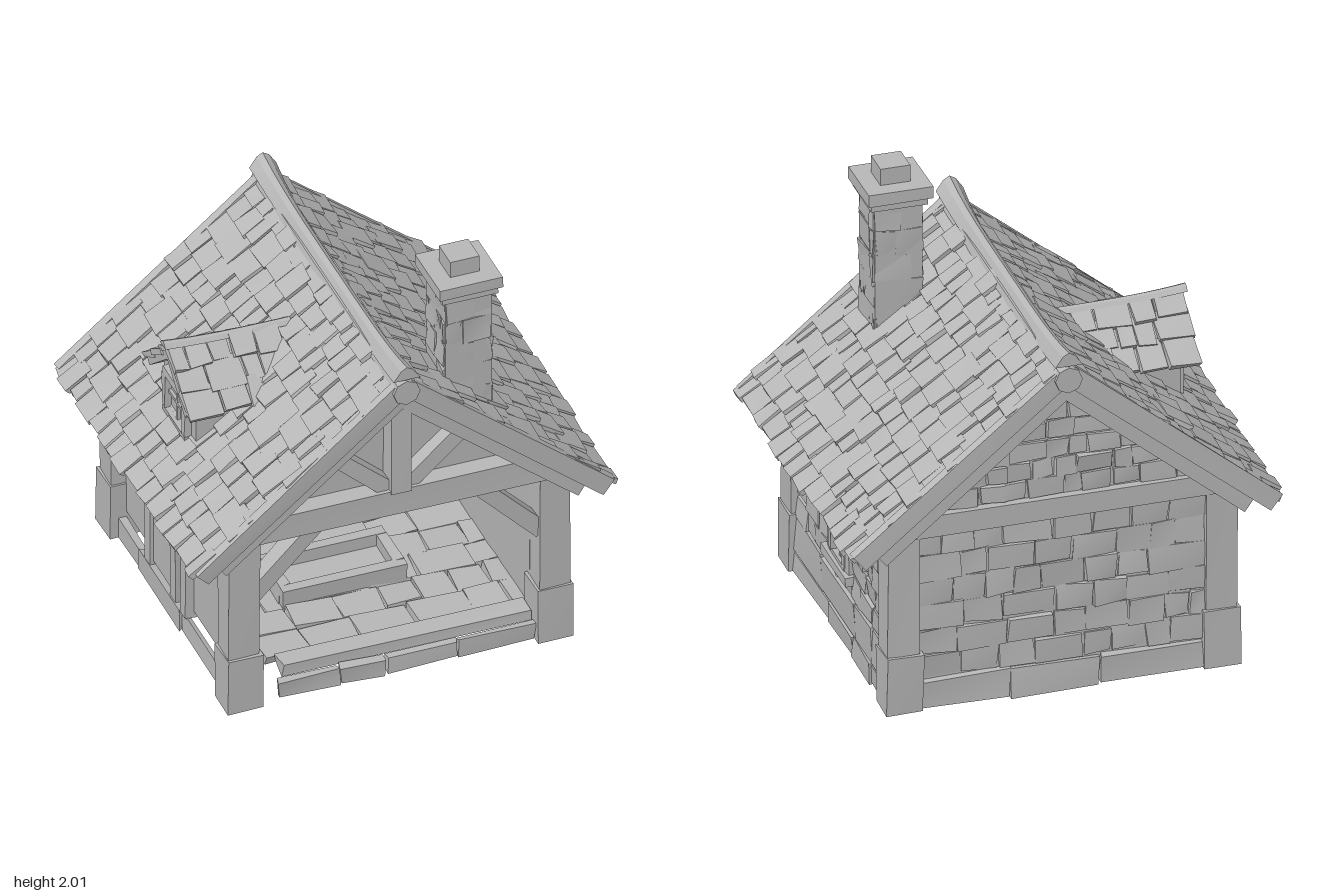
import * as THREE from 'three';
import { mergeGeometries } from 'three/addons/utils/BufferGeometryUtils.js';

export function createModel() {
  const model = new THREE.Group();
  model.name = 'cottage';
  const stone = new THREE.MeshStandardMaterial({ color: 0xb8b8b8, side: THREE.DoubleSide });
  stone.name = 'plain grey';

  let seed = 7;
  const rnd = () => (seed = (seed * 16807) % 2147483647) / 2147483647;
  const vary = (a) => (rnd() - 0.5) * 2 * a;

  const add = (parent, name, geo) => {
    const m = new THREE.Mesh(geo, stone);
    m.name = name;
    parent.add(m);
    return m;
  };
  const group = (parent, name) => {
    const g = new THREE.Group();
    g.name = name;
    parent.add(g);
    return g;
  };
  // Rough-hewn block: a box whose eight corners are nudged
  const block = (x0, x1, y0, y1, z0, z1, j = 0.004, tilt = 0) => {
    const g = new THREE.BoxGeometry(x1 - x0, y1 - y0, z1 - z0);
    const nudge = Array.from({ length: 8 }, () => [vary(j), vary(j), vary(j)]);
    const p = g.attributes.position;
    for (let i = 0; i < p.count; i++) {
      const [x, y, z] = [p.getX(i), p.getY(i), p.getZ(i)];
      const n = nudge[(x > 0) + 2 * (y > 0) + 4 * (z > 0)];
      p.setXYZ(i, x + n[0], y + n[1], z + n[2]);
    }
    g.computeVertexNormals();
    return g.rotateZ(tilt).translate((x0 + x1) / 2, (y0 + y1) / 2, (z0 + z1) / 2);
  };
  const box = (parent, name, ...args) => add(parent, name, block(...args));
  // Timber between two points of the xy plane
  const beam = (parent, name, ax, ay, bx, by, w, z0, z1) => {
    const len = Math.hypot(bx - ax, by - ay);
    const g = block(-len / 2, len / 2, -w / 2, w / 2, z0, z1);
    g.rotateZ(Math.atan2(by - ay, bx - ax)).translate((ax + bx) / 2, (ay + by) / 2, 0);
    return add(parent, name, g);
  };
  const prism = (parent, name, pts, z0, z1, steps = 1) => {
    const s = new THREE.Shape(pts.map(([x, y]) => new THREE.Vector2(x, y)));
    const g = new THREE.ExtrudeGeometry(s, { depth: z1 - z0, steps, bevelEnabled: false });
    return add(parent, name, g.translate(0, 0, z0));
  };
  // Courses of uneven stones on a plane facing +z
  const masonry = (parent, name, x0, x1, y0, y1, rowH, stoneW, keep = () => true) => {
    const geos = [];
    const rows = Math.round((y1 - y0) / rowH), h = (y1 - y0) / rows;
    for (let r = 0; r < rows; r++) {
      for (let x = x0; x < x1 - 0.02;) {
        let e = x + stoneW * (0.6 + 0.8 * rnd());
        if (x1 - e < stoneW * 0.4) e = x1;
        const y = y0 + r * h;
        if (keep(x, e, y, y + h)) {
          geos.push(block(x + 0.003, e - 0.003, y + 0.003, y + h - 0.003, -0.02, 0.008 + rnd() * 0.01, 0.009));
        }
        x = e;
      }
    }
    return add(parent, name, mergeGeometries(geos));
  };
  // Framed window facing +z
  const windowUnit = (parent, w, y0, y1, cols, rows) => {
    const g = group(parent, 'window');
    const f = 0.035, a = w / 2;
    for (const s of [-1, 1]) box(g, 'windowJamb', s * (a + f / 2) - f / 2, s * (a + f / 2) + f / 2, y0, y1, -0.03, 0.035);
    box(g, 'windowHead', -a - f, a + f, y1, y1 + f, -0.03, 0.035);
    box(g, 'windowSillRail', -a - f, a + f, y0 - f, y0, -0.03, 0.035);
    box(g, 'windowPane', -a, a, y0, y1, -0.02, 0.004, 0);
    for (let i = 1; i < cols; i++) { const x = -a + (w * i) / cols; box(g, 'windowBar', x - 0.008, x + 0.008, y0, y1, 0, 0.02, 0.001); }
    for (let i = 1; i < rows; i++) { const y = y0 + ((y1 - y0) * i) / rows; box(g, 'windowBar', -a, a, y - 0.008, y + 0.008, 0, 0.02, 0.001); }
    return g;
  };
  // Tiled pitch: local x runs down the slope, y is its normal, z follows the ridge
  const pitch = (parent, side, theta, len, z0, z1, rows, tileW) => {
    const turn = group(parent, 'roofPitch');
    const g = group(turn, 'roofSlope');
    g.rotation.z = -theta;
    box(g, 'roofDeck', 0, len - 0.03, -0.04, 0, z0 + 0.01, z1 - 0.01, 0);
    const geos = [], step = len / rows;
    for (let r = 0; r < rows; r++) {
      for (let z = z0; z < z1 - 0.01;) {
        let e = z + tileW * (0.6 + 0.8 * rnd());
        if (z1 - e < tileW * 0.4) e = z1;
        const low = step * (r + 1) + vary(0.012), up = vary(0.008);
        geos.push(block(Math.max(0, low - step * 1.3), low, -0.004 + up, 0.024 + up, z + 0.005, e - 0.005, 0.006, 0.1));
        z = e;
      }
    }
    add(g, 'roofTiles', mergeGeometries(geos));
    if (side < 0) turn.scale.x = -1;
    return g;
  };
  // Three-sided ridge cap whose ends sweep up and widen
  const ridgeCap = (parent, w, h, z0, z1, lift) => {
    const geo = prism(parent, 'ridgeCap', [[-w, 0], [w, 0], [w * 0.45, h * 0.75], [0, h], [-w * 0.45, h * 0.75]], z0, z1, 14).geometry;
    const p = geo.attributes.position;
    for (let i = 0; i < p.count; i++) {
      const t = Math.abs(p.getZ(i) / z1) ** 4;
      p.setX(i, p.getX(i) * (1 + 0.3 * t));
      p.setY(i, p.getY(i) + lift * t);
    }
    geo.computeVertexNormals();
  };

  // Corner footings and posts
  for (const sx of [-1, 1]) for (const sz of [-1, 1]) {
    const c = group(model, 'cornerPost');
    box(c, 'footing', sx * 0.72 - 0.083, sx * 0.72 + 0.083, 0, 0.28, sz * 0.7 - 0.08, sz * 0.7 + 0.08);
    box(c, 'post', sx * 0.722 - 0.072, sx * 0.722 + 0.072, 0.28, 0.89, sz * 0.7 - 0.07, sz * 0.7 + 0.07);
  }

  // Window-side wall, facing +x
  const sideWall = group(model, 'leftWall');
  sideWall.rotation.y = Math.PI / 2;
  sideWall.position.x = 0.75;
  box(sideWall, 'wallCore', -0.65, 0.65, 0.1, 0.9, -0.1, 0, 0);
  for (const s of [-1, 1]) masonry(sideWall, 'wallStones', s * 0.4 - 0.24, s * 0.4 + 0.24, 0.27, 0.88, 0.105, 0.15);
  masonry(sideWall, 'wallStones', -0.16, 0.16, 0.72, 0.88, 0.08, 0.16);
  masonry(sideWall, 'wallStones', -0.16, 0.16, 0.27, 0.34, 0.07, 0.16);
  masonry(sideWall, 'plinthStones', -0.63, 0.63, 0.1, 0.27, 0.17, 0.36).position.z = 0.012;
  masonry(sideWall, 'baseStones', -0.63, 0.63, 0.0, 0.1, 0.1, 0.4).position.z = 0.016;
  windowUnit(sideWall, 0.15, 0.385, 0.655, 2, 3);
  for (const s of [-1, 1]) box(sideWall, 'windowSurround', s * 0.13 - 0.02, s * 0.13 + 0.02, 0.37, 0.67, -0.02, 0.03);
  box(sideWall, 'windowLintel', -0.155, 0.155, 0.665, 0.72, -0.02, 0.045);
  box(sideWall, 'windowLedge', -0.175, 0.175, 0.33, 0.37, -0.02, 0.05);

  // Back wall with stone gable
  const backWall = group(model, 'backWall');
  backWall.rotation.y = Math.PI;
  backWall.position.z = -0.735;
  box(backWall, 'wallCore', -0.67, 0.67, 0.1, 0.93, -0.07, 0, 0);
  masonry(backWall, 'wallStones', -0.66, 0.66, 0.14, 0.86, 0.12, 0.17);
  masonry(backWall, 'baseStones', -0.64, 0.64, 0, 0.14, 0.14, 0.36).position.z = 0.016;
  box(backWall, 'innerPlinth', -0.64, 0.64, 0.1, 0.29, -0.1, -0.05);
  box(backWall, 'tieBeam', -0.78, 0.78, 0.85, 0.95, -0.04, 0.045);
  prism(backWall, 'gable', [[-0.76, 0.9], [0.76, 0.9], [0, 1.54]], -0.06, 0);
  masonry(backWall, 'gableStones', -0.66, 0.66, 0.95, 1.5, 0.092, 0.13,
    (a, b, c, d) => Math.max(Math.abs(a), Math.abs(b)) < (1.56 - d) / 0.82 + 0.04);

  // Boarded wall with door posts, facing -x
  const doorWall = group(model, 'rightWall');
  doorWall.rotation.y = -Math.PI / 2;
  doorWall.position.x = -0.735;
  box(doorWall, 'wallPanel', -0.64, 0.64, 0.13, 0.9, -0.06, -0.01, 0);
  for (const z of [-0.28, 0.02, 0.15]) box(doorWall, 'doorPost', z - 0.03, z + 0.03, 0.1, 0.88, -0.02, 0.03);
  box(doorWall, 'doorLeaf', -0.25, -0.01, 0.12, 0.8, -0.02, 0.01);
  masonry(doorWall, 'sillStones', -0.63, 0.63, 0, 0.1, 0.1, 0.36).position.z = 0.016;

  // Floor flags (broken away at the back corner), front sill and hearth frame
  const floor = masonry(model, 'floorFlags', -0.56, 0.68, -0.6, 0.68, 0.16, 0.2,
    (a, b, c, d) => d < 0.5 || a > 0.25);
  floor.rotation.x = -Math.PI / 2;
  floor.position.y = 0.105;
  const sill = masonry(model, 'frontSill', -0.56, 0.64, 0.01, 0.1, 0.09, 0.3);
  sill.position.z = 0.74;
  box(model, 'frontStep', -0.52, 0.63, 0.09, 0.14, 0.62, 0.71, 0.008);
  const hearth = group(model, 'hearth');
  for (const z of [0, 0.25]) box(hearth, 'hearthKerb', -0.35, 0.23, 0.1, 0.2, z - 0.025, z + 0.025);
  for (const x of [-0.325, 0.205]) box(hearth, 'hearthKerb', x - 0.025, x + 0.025, 0.1, 0.2, 0.02, 0.23);
  box(hearth, 'hearthBed', -0.31, 0.19, 0.1, 0.14, 0.02, 0.23);

  // Open front: tie beam, truss and braces
  const truss = group(model, 'frontTruss');
  box(truss, 'tieBeam', -0.74, 0.74, 0.87, 0.99, 0.66, 0.78);
  box(truss, 'kingPost', -0.045, 0.045, 0.98, 1.53, 0.69, 0.79);
  prism(truss, 'gablePanel', [[-0.74, 0.92], [0.74, 0.92], [0, 1.54]], 0.66, 0.69);
  for (const s of [-1, 1]) {
    beam(truss, 'strut', s * 0.05, 1.0, s * 0.33, 1.25, 0.075, 0.69, 0.76);
    beam(truss, 'kneeBrace', s * 0.67, 0.58, s * 0.37, 0.89, 0.075, 0.67, 0.75);
  }

  // Main roof
  const roof = group(model, 'mainRoof');
  roof.position.y = 1.6;
  for (const s of [-1, 1]) {
    const g = pitch(roof, s, 0.69, 1.26, -0.835, 0.835, 11, 0.125);
    for (const e of [-1, 1]) {
      box(g, 'bargeBoard', 0.02, 1.24, -0.06, 0.028, e * 0.82 - 0.022, e * 0.82 + 0.022, 0.006);
      box(g, 'rafter', 0.04, 1.16, -0.13, -0.04, e * 0.76 - 0.04, e * 0.76 + 0.04, 0.006);
    }
    for (let z = -0.5; z < 0.6; z += 0.25) box(g, 'rafterTail', 0.95, 1.19, -0.075, -0.035, z - 0.025, z + 0.025);
  }
  const cap = group(roof, 'ridge');
  cap.position.y = -0.015;
  ridgeCap(cap, 0.048, 0.066, -0.855, 0.855, 0.045);
  add(roof, 'ridgeBeam', new THREE.CylinderGeometry(0.062, 0.062, 1.71, 8).toNonIndexed().rotateX(Math.PI / 2).translate(0, -0.04, 0))
    .geometry.computeVertexNormals();

  // Dormer on the -x pitch
  const dormer = group(model, 'dormer');
  dormer.rotation.y = -Math.PI / 2;
  prism(dormer, 'dormerBody', [[-0.19, 0.96], [0.19, 0.96], [0.19, 1.22], [0, 1.39], [-0.19, 1.22]], 0.45, 0.72);
  const dormerRoof = group(dormer, 'dormerRoof');
  dormerRoof.position.y = 1.425;
  for (const s of [-1, 1]) pitch(dormerRoof, s, 0.69, 0.335, 0.27, 0.79, 3, 0.13);
  ridgeCap(dormerRoof, 0.026, 0.025, 0.21, 0.8, 0.025);
  windowUnit(dormer, 0.2, 1.04, 1.21, 2, 2).position.z = 0.715;

  // Chimney
  const chimney = group(model, 'chimney');
  chimney.position.set(0.372, 0, 0.525);
  box(chimney, 'shaft', -0.108, 0.108, 1.1, 1.85, -0.113, 0.113, 0);
  for (let i = 0; i < 4; i++) {
    const face = group(chimney, 'chimneyFace');
    face.rotation.y = (i * Math.PI) / 2;
    masonry(face, 'chimneyStones', -0.108, 0.108, 1.1, 1.84, 0.123, 0.12).position.z = 0.1;
  }
  box(chimney, 'capMoulding', -0.13, 0.13, 1.83, 1.865, -0.132, 0.132, 0.002);
  box(chimney, 'cap', -0.147, 0.147, 1.865, 1.92, -0.147, 0.147, 0.002);
  box(chimney, 'flue', -0.068, 0.068, 1.92, 2.0, -0.068, 0.068, 0);

  return model;
}
